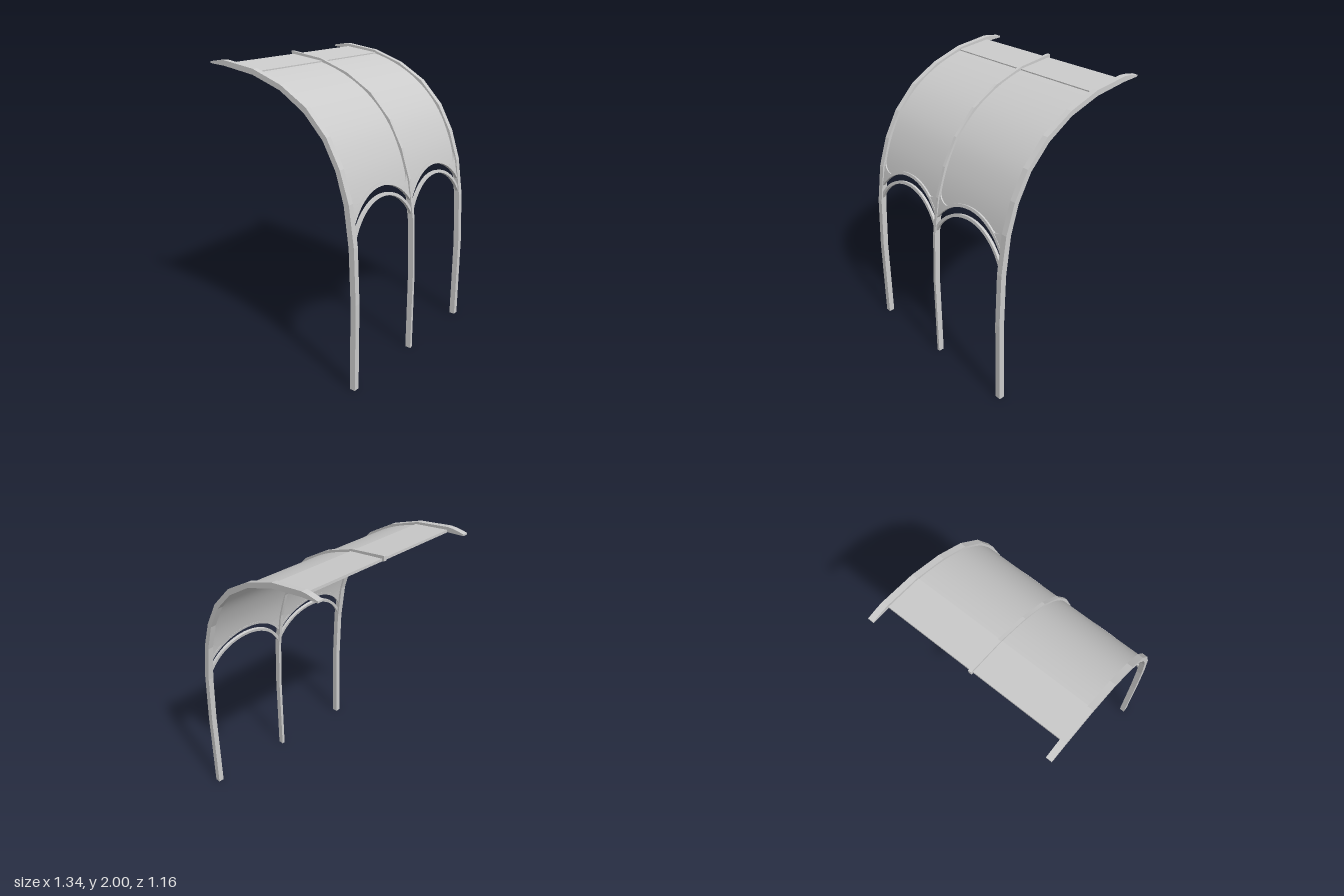
import * as THREE from 'three';
import { toCreasedNormals } from 'three/addons/utils/BufferGeometryUtils.js';

const material = new THREE.MeshStandardMaterial({ color: 0xcccccc });

// Rib side profile as [z, y]
const OUTER = [[0.577, 0], [0.58, 0.6], [0.565, 0.97], [0.527, 1.235], [0.461, 1.437], [0.362, 1.617],
  [0.208, 1.777], [0.015, 1.89], [-0.21, 1.967], [-0.458, 2.0]];
const INNER = [[0.537, 0], [0.541, 0.6], [0.526, 0.96], [0.489, 1.228], [0.43, 1.422], [0.335, 1.595],
  [0.193, 1.742], [0.01, 1.856], [-0.213, 1.93], [-0.458, 1.965]];

// Smooth centre line of the ribs, used to bend the panels
const spine = new THREE.CatmullRomCurve3(OUTER.map(([z, y], i) =>
  new THREE.Vector3(0, (y + INNER[i][1]) / 2, (z + INNER[i][0]) / 2)));

function paramAtHeight(y) {
  let a = 0, b = 1;
  for (let i = 0; i < 30; i++) {
    const m = (a + b) / 2;
    if (spine.getPoint(m).y < y) a = m; else b = m;
  }
  return (a + b) / 2;
}

// Extrudes a [z, y] outline along x, centred on x
function extrudeX(name, outline, width, x) {
  const shape = new THREE.Shape(outline.map(([z, y]) => new THREE.Vector2(z, y)));
  const geo = new THREE.ExtrudeGeometry(shape, { depth: width, bevelEnabled: false });
  geo.translate(0, 0, -width / 2).rotateY(-Math.PI / 2).translate(x, 0, 0);
  const mesh = new THREE.Mesh(geo, material);
  mesh.name = name;
  return mesh;
}

// Closed slab following the spine, between two height functions of x
function bentPanel(name, x0, x1, low, high, { nx = 40, ny = 2, thick = 0.02, offset = 0 }) {
  const pos = [], index = [], size = (nx + 1) * (ny + 1);
  for (const side of [0.5, -0.5]) {
    for (let i = 0; i <= nx; i++) {
      const x = x0 + (x1 - x0) * i / nx;
      const s0 = paramAtHeight(low(x)), s1 = paramAtHeight(high(x));
      for (let j = 0; j <= ny; j++) {
        const s = s0 + (s1 - s0) * j / ny;
        const p = spine.getPoint(s), t = spine.getTangent(s);
        const d = side * thick + offset;
        pos.push(x, p.y - t.z * d, p.z + t.y * d);
      }
    }
  }
  const at = (i, j) => i * (ny + 1) + j;
  for (let i = 0; i < nx; i++) for (let j = 0; j < ny; j++) {
    const a = at(i, j), b = at(i + 1, j), c = at(i + 1, j + 1), d = at(i, j + 1);
    index.push(a, b, c, a, c, d);
    index.push(a + size, c + size, b + size, a + size, d + size, c + size);
  }
  // Rim walls around the outline
  const loop = [];
  for (let i = 0; i < nx; i++) loop.push(at(i, 0));
  for (let j = 0; j < ny; j++) loop.push(at(nx, j));
  for (let i = nx; i > 0; i--) loop.push(at(i, ny));
  for (let j = ny; j > 0; j--) loop.push(at(0, j));
  loop.forEach((p, k) => {
    const q = loop[(k + 1) % loop.length];
    index.push(p, p + size, q + size, p, q + size, q);
  });
  const geo = new THREE.BufferGeometry();
  geo.setAttribute('position', new THREE.Float32BufferAttribute(pos, 3));
  geo.setIndex(index);
  const mesh = new THREE.Mesh(toCreasedNormals(geo, 0.6), material);
  mesh.name = name;
  return mesh;
}

function createBay(xc) {
  const bay = new THREE.Group();
  bay.name = xc > 0 ? 'leftBay' : 'rightBay';
  const half = 0.312, x0 = xc - half, x1 = xc + half;
  const arc = (cy, r) => x => cy + Math.sqrt(r * r - (x - xc) ** 2);
  const upperTop = arc(0.886, 0.394);
  // Lower edge of the canopy: arch with rounded corners rising at the ribs
  const canopyEdge = x => {
    const d = Math.abs(x - xc) - 0.237;
    const corner = d > 0 ? 1.28 - Math.sqrt(Math.max(0, 0.075 ** 2 - d * d)) : 0;
    return Math.max(upperTop(x), corner);
  };

  bay.add(bentPanel('lowerArch', x0, x1, arc(0.851, 0.344), arc(0.851, 0.364), {}));
  bay.add(bentPanel('upperArch', x0, x1, arc(0.886, 0.374), upperTop, {}));
  for (const s of [-1, 1]) {
    const ends = [xc + s * 0.225, xc + s * half].sort((a, b) => a - b);
    bay.add(bentPanel('spandrel', ends[0], ends[1], x => upperTop(x) - 0.004,
      x => canopyEdge(x) + 0.004, { nx: 16, ny: 4, thick: 0.014 }));
  }
  bay.add(bentPanel('canopySheet', x0, x1, canopyEdge, () => 1.946, { nx: 48, ny: 32, thick: 0.006, offset: -0.006 }));

  // Flat plate along the top of the canopy
  bay.add(extrudeX('topPlate', [[-0.198, 1.93], [-0.198, 1.95], [-0.455, 1.98], [-0.455, 1.962]], 2 * half, xc));
  return bay;
}

export function createModel() {
  const model = new THREE.Group();
  model.name = 'archedCanopy';

  // Two wide outer ribs with long tips, one slim shorter middle rib
  const ribOutline = tip => [...OUTER, ...tip, ...[...INNER].reverse()];
  for (const s of [-1, 1]) {
    model.add(extrudeX(s > 0 ? 'leftRib' : 'rightRib',
      ribOutline([[-0.5, 1.998], [-0.583, 1.985], [-0.583, 1.973]]), 0.04, s * 0.65));
  }
  model.add(extrudeX('middleRib', ribOutline([[-0.47, 2.0], [-0.47, 1.966]]), 0.022, 0));

  for (const s of [-1, 1]) model.add(createBay(s * 0.32));
  return model;
}
